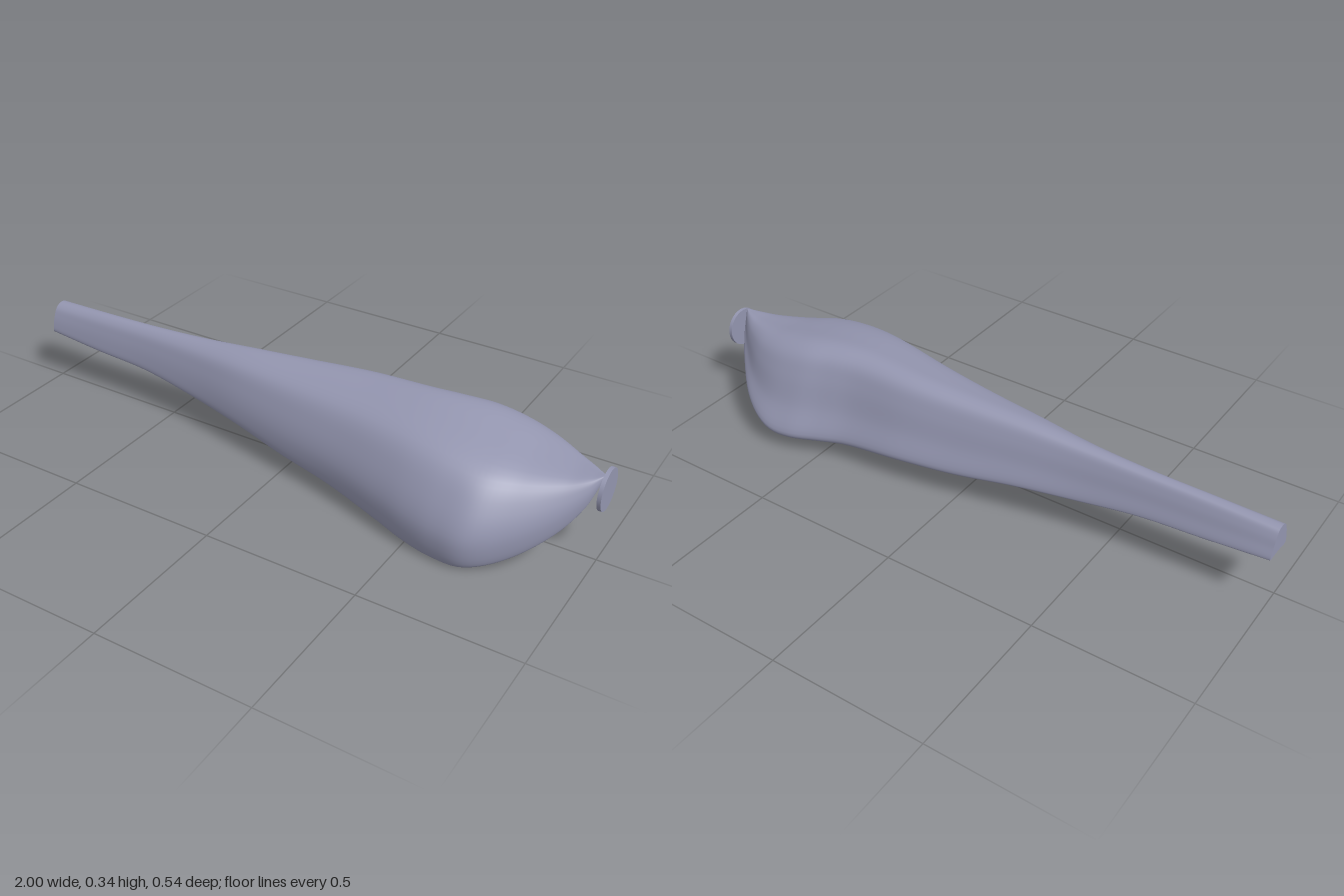
import * as THREE from 'three';

// Stations along the length: [x, top y, bottom y, back z, front z]
const stations = [
  [-1, 0.275, 0.18, -0.09, 0.02], [-0.8, 0.28, 0.16, -0.09, 0.02],
  [-0.6, 0.285, 0.147, -0.095, 0.022], [-0.4, 0.295, 0.12, -0.112, 0.04],
  [-0.2, 0.31, 0.098, -0.142, 0.077], [0, 0.322, 0.068, -0.175, 0.117],
  [0.2, 0.335, 0.05, -0.203, 0.16], [0.4, 0.345, 0.025, -0.216, 0.216],
  [0.5, 0.345, 0.011, -0.24, 0.245], [0.6, 0.338, 0.004, -0.27, 0.264],
  [0.7, 0.322, 0.008, -0.271, 0.262], [0.8, 0.304, 0.038, -0.222, 0.198],
  [0.9, 0.291, 0.112, -0.128, 0.112], [0.96, 0.289, 0.195, -0.055, 0.05],
  [0.988, 0.289, 0.272, -0.008, 0.008],
];

// Cross-sections as [across 0 back..1 front, height 0..1], from the front
// lower edge over the crown to the back lower edge and along the underside
const narrow = [[0.97, 0], [1, 0.06], [0.97, 0.3], [0.89, 0.6], [0.78, 0.85], [0.62, 0.98],
  [0.47, 1], [0.34, 0.95], [0.22, 0.75], [0.12, 0.47], [0.01, 0.18], [0.02, 0.1], [0.35, 0.08], [0.7, 0.04]];
const broad = [[0.95, 0], [0.98, 0.04], [1, 0.3], [0.93, 0.58], [0.79, 0.84], [0.5, 0.965],
  [0.32, 1], [0.22, 0.93], [0.15, 0.75], [0.08, 0.47], [0, 0.21], [0.02, 0.15], [0.3, 0.14], [0.65, 0.08]];

const AROUND = 72, ALONG = 90;

// Smooth cubic interpolation of the station table at x
function stationAt(x) {
  let i = 0;
  while (i < stations.length - 2 && x > stations[i + 1][0]) i++;
  const a = stations[i], b = stations[i + 1];
  const p = stations[Math.max(i - 1, 0)], q = stations[Math.min(i + 2, stations.length - 1)];
  const h = b[0] - a[0], t = (x - a[0]) / h, t2 = t * t, t3 = t2 * t;
  return [1, 2, 3, 4].map((k) => {
    const m0 = (b[k] - p[k]) / (b[0] - p[0]), m1 = (q[k] - a[k]) / (q[0] - a[0]);
    return (2 * t3 - 3 * t2 + 1) * a[k] + (t3 - 2 * t2 + t) * h * m0
      + (3 * t2 - 2 * t3) * b[k] + (t3 - t2) * h * m1;
  });
}

// Closed ring of points at x
function ringAt(x) {
  const [top, bottom, back, front] = stationAt(x);
  const blend = THREE.MathUtils.smoothstep(x, -0.8, 0.5);
  const lift = 0.25 * THREE.MathUtils.smoothstep(x, 0.62, 0.92);
  const points = narrow.map((n, i) => {
    const u = THREE.MathUtils.lerp(n[0], broad[i][0], blend);
    let v = THREE.MathUtils.lerp(n[1], broad[i][1], blend);
    // the back lower edge climbs toward the tip
    if (i > 7) v += lift * (1 - u) * (1 - v);
    return new THREE.Vector3(x, bottom + v * (top - bottom), back + u * (front - back));
  });
  const curve = new THREE.CatmullRomCurve3(points, true, 'centripetal');
  return Array.from({ length: AROUND }, (_, j) => curve.getPoint(j / AROUND));
}

function loftGeometry() {
  const pos = [], index = [];
  const push = (p) => pos.push(p.x, p.y, p.z) / 3 - 1;
  for (let i = 0; i <= ALONG; i++) {
    const x = -1 + 1.988 * Math.sin((i / ALONG) * Math.PI / 2);
    ringAt(x).forEach(push);
  }
  for (let i = 0; i < ALONG; i++) {
    for (let j = 0; j < AROUND; j++) {
      const k = (j + 1) % AROUND;
      const a = i * AROUND + j, b = i * AROUND + k;
      index.push(a, a + AROUND, b, b, a + AROUND, b + AROUND);
    }
  }
  // flat cap on the narrow end, and a tiny one at the tip
  for (const [x, flip] of [[-1, false], [0.988, true]]) {
    const ring = ringAt(x);
    const centre = ring.reduce((s, p) => s.add(p), new THREE.Vector3()).divideScalar(AROUND);
    const c = push(centre), start = c + 1;
    ring.forEach(push);
    for (let j = 0; j < AROUND; j++) {
      const a = start + j, b = start + (j + 1) % AROUND;
      if (flip) index.push(c, b, a);
      else index.push(c, a, b);
    }
  }
  const g = new THREE.BufferGeometry();
  g.setAttribute('position', new THREE.Float32BufferAttribute(pos, 3));
  g.setIndex(index);
  g.computeVertexNormals();
  return g;
}

export function createModel() {
  const group = new THREE.Group();
  const greyBlue = new THREE.MeshStandardMaterial({ color: 0x9496b0 });
  greyBlue.name = 'greyBlue';

  // Long tapering body
  const body = new THREE.Mesh(loftGeometry(), greyBlue);
  body.name = 'body';
  group.add(body);

  // Thin round disc at the tip
  const disc = new THREE.Mesh(new THREE.CylinderGeometry(0.065, 0.065, 0.012, 32), greyBlue);
  disc.name = 'tipDisc';
  disc.rotation.z = -Math.PI / 2;
  disc.position.set(0.993, 0.23, -0.025);
  group.add(disc);

  return group;
}
